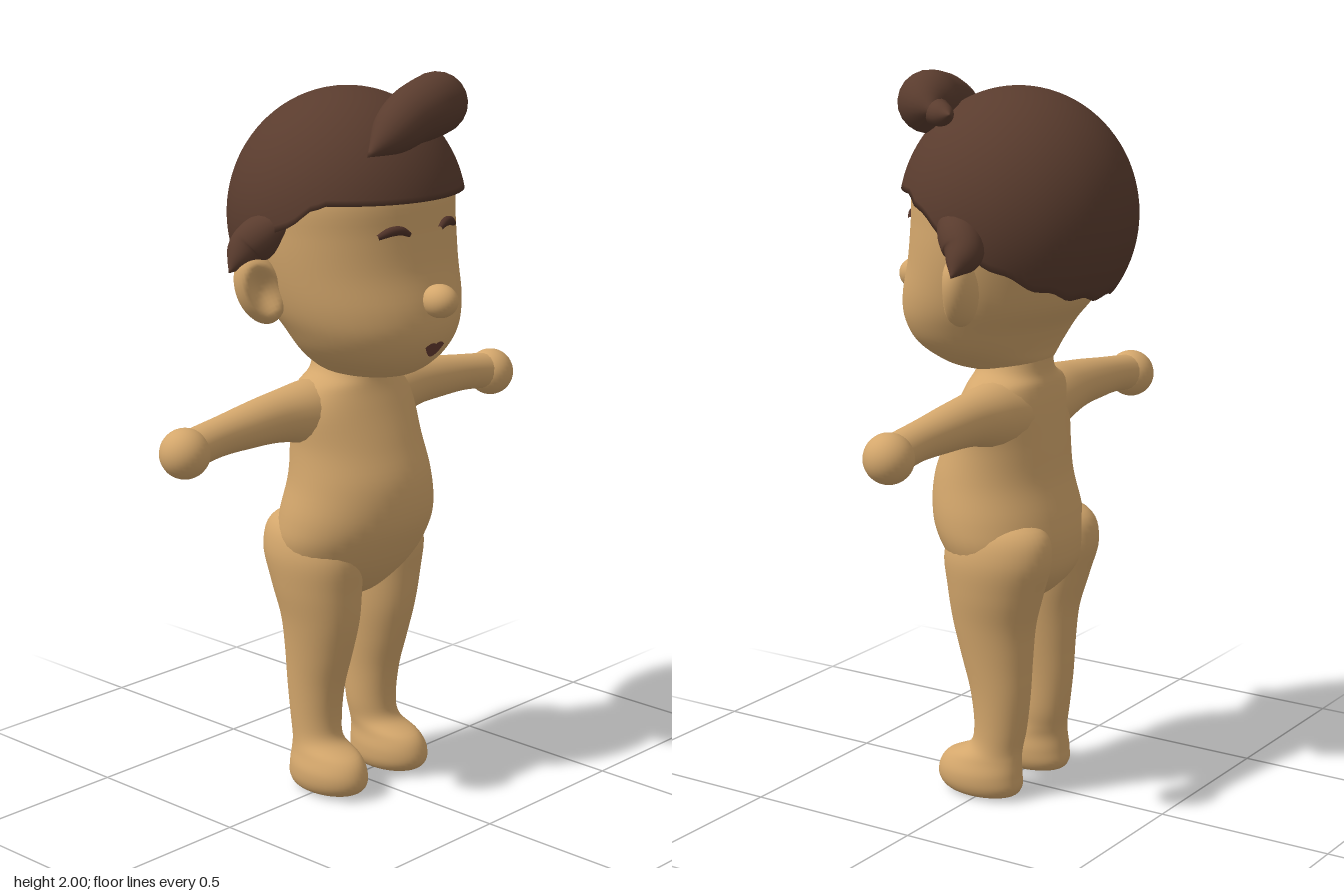
import * as THREE from 'three';
import { mergeVertices } from 'three/addons/utils/BufferGeometryUtils.js';

const material = (name, color) => Object.assign(new THREE.MeshStandardMaterial({ color }), { name });

// Closed surface from a grid of points: rows run upward, columns run around.
function grid(rows, cols, point) {
  const pos = [], idx = [];
  for (let i = 0; i <= rows; i++)
    for (let j = 0; j < cols; j++) pos.push(...point(i / rows, (j / cols) * Math.PI * 2));
  for (let i = 0; i < rows; i++)
    for (let j = 0; j < cols; j++) {
      const k = (j + 1) % cols, a = i * cols + j, b = i * cols + k;
      idx.push(a, b, a + cols, b, b + cols, a + cols);
    }
  const g = new THREE.BufferGeometry();
  g.setAttribute('position', new THREE.Float32BufferAttribute(pos, 3));
  g.setIndex(idx);
  const merged = mergeVertices(g, 1e-5);
  merged.computeVertexNormals();
  return merged;
}

const spline = (keys, rows) => new THREE.CubicInterpolant(keys, rows.flat(), rows[0].length, new Float32Array(rows[0].length));

// Upright body part from sections [y, centre x, front z, back z, half width].
function loft(sections, side = 1) {
  const s = spline(sections.map((_, i) => i), sections);
  return grid(sections.length * 5, 40, (t, a) => {
    const [y, cx, zf, zb, rx] = s.evaluate(t * (sections.length - 1));
    return [side * cx + rx * Math.sin(a), y, (zf + zb) / 2 + ((zf - zb) / 2) * Math.cos(a)];
  });
}

// Tube of changing radius through points [x, y, z, radius].
function sweep(points, side = 1) {
  const curve = new THREE.CatmullRomCurve3(points.map(([x, y, z]) => new THREE.Vector3(x * side, y, z)));
  const radius = spline(points.map((_, i) => i / (points.length - 1)), points.map((p) => [p[3]]));
  const n = 32, m = 20, raw = new THREE.TubeGeometry(curve, n, 1, m);
  const p = raw.attributes.position, v = new THREE.Vector3();
  for (let i = 0; i <= n; i++) {
    const c = curve.getPointAt(i / n), r = Math.max(0, radius.evaluate(i / n)[0]);
    for (let j = 0; j <= m; j++) {
      const k = i * (m + 1) + j;
      v.fromBufferAttribute(p, k).sub(c).multiplyScalar(r).add(c);
      p.setXYZ(k, v.x, v.y, v.z);
    }
  }
  raw.deleteAttribute('uv');
  raw.deleteAttribute('normal');
  const g = mergeVertices(raw, 1e-5);
  g.computeVertexNormals();
  return g;
}

const HEAD = [
  [1.195, 0, 0.06, 0.05, 0], [1.2, 0, 0.16, -0.08, 0.09], [1.225, 0, 0.22, -0.12, 0.14],
  [1.27, 0, 0.265, -0.14, 0.2], [1.33, 0, 0.29, -0.175, 0.242], [1.4, 0, 0.288, -0.23, 0.273],
  [1.5, 0, 0.262, -0.27, 0.295], [1.6, 0, 0.25, -0.305, 0.305], [1.7, 0, 0.243, -0.31, 0.3],
  [1.8, 0, 0.2, -0.25, 0.24], [1.88, 0, 0.1, -0.13, 0.12], [1.9, 0, -0.01, -0.01, 0],
];
const headAt = spline(HEAD.map((r) => r[0]), HEAD);
// Depth of the face surface at a point seen from the front.
function faceZ(x, y) {
  const [, , zf, zb, rx] = headAt.evaluate(y);
  return (zf + zb) / 2 + ((zf - zb) / 2) * Math.sqrt(1 - (x / rx) ** 2);
}

const TORSO = [
  [0.54, 0, -0.02, -0.04, 0], [0.57, 0, 0.05, -0.12, 0.09], [0.64, 0, 0.12, -0.185, 0.19],
  [0.72, 0, 0.17, -0.2, 0.23], [0.8, 0, 0.198, -0.19, 0.233], [0.9, 0, 0.195, -0.165, 0.216],
  [1, 0, 0.158, -0.155, 0.205], [1.1, 0, 0.115, -0.145, 0.205], [1.16, 0, 0.09, -0.135, 0.175],
  [1.2, 0, 0.08, -0.125, 0.115], [1.27, 0, 0.07, -0.125, 0.09],
];

const LEG = [
  [0, 0.125, 0.02, -0.02, 0], [0.006, 0.125, 0.1, -0.09, 0.06], [0.03, 0.125, 0.137, -0.115, 0.081],
  [0.07, 0.125, 0.14, -0.115, 0.084], [0.11, 0.122, 0.115, -0.113, 0.073], [0.145, 0.117, 0.045, -0.113, 0.065],
  [0.2, 0.113, 0.03, -0.122, 0.067], [0.3, 0.113, 0.042, -0.134, 0.072], [0.4, 0.113, 0.07, -0.14, 0.082],
  [0.5, 0.115, 0.095, -0.15, 0.094], [0.6, 0.121, 0.107, -0.178, 0.106], [0.7, 0.124, 0.115, -0.205, 0.11],
  [0.78, 0.12, 0.08, -0.18, 0.085], [0.83, 0.12, -0.04, -0.06, 0],
];

// Cap of hair, high over the brow and sloping down to the nape.
function hairCap() {
  const c = { x: 0, y: 1.62, z: -0.03 };
  const shell = (y, a, k = 1) => {
    const r = k * Math.sqrt(Math.max(0, 1 - ((y - c.y) / 0.34) ** 2));
    return [0.325 * r * Math.sin(a), y, c.z + (Math.cos(a) > 0 ? 0.318 : 0.325) * r * Math.cos(a)];
  };
  const edge = (a) => {
    let y = 1.6;
    for (let i = 0; i < 12; i++) {
      const z = shell(y, a)[2];
      y = (y + 1.69 - Math.max(0, 0.14 - z) * 0.64) / 2;
    }
    return y + (Math.cos(a) < 0.45 ? 0.006 * Math.sin(a * 16) : 0);
  };
  return grid(31, 96, (t, a) => {
    const e = edge(a), i = Math.round(t * 31);
    if (i === 0) return shell(e + 0.01, a, 0.8);
    const low = Math.asin((e - c.y) / 0.34), lat = low + (Math.PI / 2 - low) * ((i - 1) / 30);
    return shell(c.y + 0.34 * Math.sin(lat), a);
  });
}

// Ear: a flattened ball with a hollow pressed into the front.
function earGeometry() {
  const g = new THREE.SphereGeometry(1, 32, 24), p = g.attributes.position;
  for (let i = 0; i < p.count; i++) {
    const x = p.getX(i), y = p.getY(i), z = p.getZ(i);
    if (z > 0) p.setZ(i, z - 0.9 * Math.max(0, 1 - (x * x + y * y) / 0.6) ** 1.5);
  }
  g.scale(0.065, 0.1, 0.05);
  g.computeVertexNormals();
  return g;
}

export function createModel() {
  const model = new THREE.Group();
  const skin = material('skin', 0xd4a76c);
  const hair = material('hair', 0x5a3c2e);
  const brow = material('brow', 0x4f3228);
  const lips = material('lips', 0x663c32);
  const add = (name, geometry, mat, x = 0, y = 0, z = 0) => {
    const mesh = new THREE.Mesh(geometry, mat);
    mesh.name = name;
    mesh.position.set(x, y, z);
    model.add(mesh);
    return mesh;
  };

  add('torso', loft(TORSO), skin);
  add('head', loft(HEAD), skin);
  add('nose', new THREE.SphereGeometry(0.045, 28, 20), skin, 0, 1.425, 0.303).scale.z = 1.15;

  for (const s of [1, -1]) {
    const side = s > 0 ? 'left' : 'right';
    add(side + 'Leg', loft(LEG, s), skin);
    add(side + 'Arm', sweep([[0.04, 1.08, -0.04, 0.1], [0.17, 1.095, -0.04, 0.088], [0.28, 1.1, -0.04, 0.07],
      [0.4, 1.095, -0.038, 0.06], [0.5, 1.088, -0.035, 0.052], [0.6, 1.075, -0.032, 0.052]], s), skin);
    add(side + 'Hand', new THREE.SphereGeometry(0.067, 28, 20), skin, s * 0.61, 1.07, -0.032);
    add(side + 'Ear', earGeometry(), skin, s * 0.315, 1.455, -0.05).rotation.set(0, s * 0.35, s * -0.4);
    // Lock of hair curling out over the ear
    add(side + 'HairCurl', sweep([[0.26, 1.66, 0.04, 0.02], [0.295, 1.61, -0.03, 0.045], [0.33, 1.565, -0.075, 0.058],
      [0.37, 1.53, -0.08, 0.045], [0.398, 1.505, -0.08, 0]], s), hair);
    const arc = [[0.06, 1.603], [0.085, 1.615], [0.115, 1.615], [0.15, 1.602]];
    add(side + 'Eyebrow', sweep(arc.map(([x, y], i) => [x, y, faceZ(x, y) + 0.004, i % 3 ? 0.012 : 0.007]), s), brow);
  }

  // Mouth: a thin plate following the face
  const shape = new THREE.Shape();
  shape.moveTo(-0.037, 1.302);
  shape.quadraticCurveTo(-0.018, 1.318, 0, 1.308);
  shape.quadraticCurveTo(0.018, 1.318, 0.037, 1.302);
  shape.quadraticCurveTo(0.018, 1.272, 0, 1.27);
  shape.quadraticCurveTo(-0.018, 1.272, -0.037, 1.302);
  const mouth = new THREE.ShapeGeometry(shape, 8), mp = mouth.attributes.position;
  for (let i = 0; i < mp.count; i++) mp.setZ(i, faceZ(mp.getX(i), mp.getY(i)) + 0.007);
  mouth.computeVertexNormals();
  add('mouth', mouth, lips);

  // Hair cap with the swept forelock and its small tip
  add('hairCap', hairCap(), hair);
  add('forelock', sweep([[-0.16, 1.81, 0.19, 0], [-0.1, 1.845, 0.195, 0.055], [0, 1.895, 0.19, 0.075],
    [0.11, 1.917, 0.175, 0.083], [0.19, 1.915, 0.13, 0.075], [0.235, 1.905, 0.08, 0]]), hair);
  add('forelockTip', sweep([[0.17, 1.9, 0.12, 0.04], [0.22, 1.9, 0.07, 0.035], [0.245, 1.902, 0.035, 0.028],
    [0.265, 1.905, 0.01, 0]]), hair);
  return model;
}
